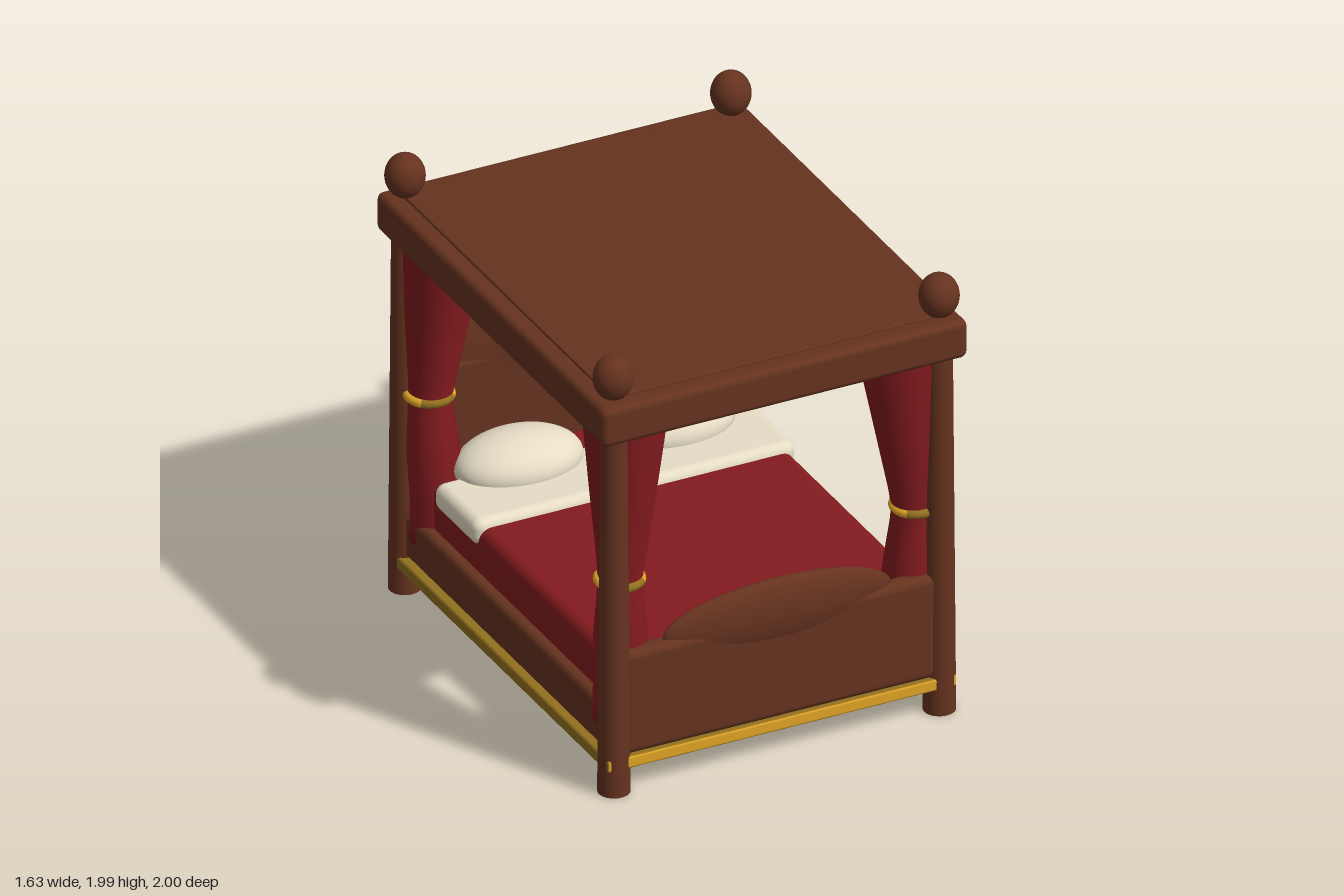
import * as THREE from 'three';
import { RoundedBoxGeometry } from 'three/addons/geometries/RoundedBoxGeometry.js';

const mat = (name, color, side = THREE.FrontSide) => {
  const m = new THREE.MeshStandardMaterial({ color, side });
  m.name = name;
  return m;
};

// Curtain rings from hem to canopy: height, radius, centre x, centre z
const curtainRings = [
  [0.27, 0, 0.637, 0.8], [0.27, 0.12, 0.637, 0.8], [0.34, 0.116, 0.635, 0.8],
  [0.45, 0.113, 0.635, 0.804], [0.66, 0.109, 0.648, 0.82], [0.84, 0.094, 0.655, 0.83],
  [0.91, 0.09, 0.656, 0.832], [1.0, 0.098, 0.65, 0.828], [1.3, 0.135, 0.632, 0.81],
  [1.64, 0.174, 0.61, 0.785],
];

// Lathed cloth whose rings are shifted so that it leans towards its post
function curtainGeometry(sx, sz) {
  const geo = new THREE.LatheGeometry(curtainRings.map(([y, r]) => new THREE.Vector2(r, y)), 32);
  const pos = geo.attributes.position;
  for (let i = 0; i < pos.count; i++) {
    const [, , cx, cz] = curtainRings[i % curtainRings.length];
    pos.setX(i, pos.getX(i) + sx * cx);
    pos.setZ(i, pos.getZ(i) + sz * cz);
  }
  return geo;
}

export function createModel() {
  const wood = mat('dark wood', 0x66331f);
  const red = mat('red cloth', 0x841b1f, THREE.DoubleSide);
  const gold = mat('bright gold', 0xdfa426);
  const oldGold = mat('dark gold', 0x92701e);
  const cream = mat('cream linen', 0xe6ddc5);

  const bed = new THREE.Group();
  bed.name = 'canopyBed';

  const add = (parent, name, geometry, material, x, y, z) => {
    const mesh = new THREE.Mesh(geometry, material);
    mesh.name = name;
    mesh.position.set(x, y, z);
    parent.add(mesh);
    return mesh;
  };
  // Rounded box given by its size and the heights of its bottom and top
  const slab = (name, material, w, y0, y1, d, r, z = 0) =>
    add(bed, name, new RoundedBoxGeometry(w, y1 - y0, d, 4, r), material, 0, (y0 + y1) / 2, z);
  const ball = (parent, name, material, x, y, z, rx, ry, rz) =>
    add(parent, name, new THREE.SphereGeometry(1, 40, 24), material, x, y, z).scale.set(rx, ry, rz);

  // Base with bright front and back edges, and canopy
  slab('goldBase', [oldGold, oldGold, oldGold, oldGold, gold, gold], 1.56, 0.113, 0.17, 1.94, 0.012);
  slab('bedFrame', wood, 1.5, 0.165, 0.365, 1.84, 0.03);
  slab('canopy', wood, 1.634, 1.622, 1.795, 2, 0.03);
  slab('canopyTopPanel', wood, 1.48, 1.74, 1.806, 1.84, 0.008);

  // Footboard and headboard: panels crowned by flattened domes
  slab('footboardPanel', wood, 1.4, 0.165, 0.635, 0.088, 0.035, 0.917);
  ball(bed, 'footboardArch', wood, 0, 0.635, 0.917, 0.51, 0.15, 0.058);
  slab('headboardPanel', wood, 1.4, 0.165, 1.0, 0.09, 0.035, -0.917);
  ball(bed, 'headboardArch', wood, 0, 1.0, -0.917, 0.65, 0.25, 0.054);

  // Bedding
  slab('mattress', red, 1.4, 0.25, 0.56, 1.76, 0.05);
  slab('foldedSheet', cream, 1.44, 0.475, 0.595, 0.38, 0.045, -0.5);

  // Posts, finials, curtains and ties at the four corners
  const postGeo = new THREE.CylinderGeometry(0.054, 0.067, 1.68, 28);
  const tieGeo = new THREE.TorusGeometry(0.087, 0.02, 12, 10, Math.PI / 2)
    .rotateZ(-Math.PI / 4).rotateX(Math.PI / 2);

  for (const sx of [-1, 1]) {
    ball(bed, 'pillow', cream, sx * 0.34, 0.603, -0.68, 0.275, 0.128, 0.19);
    for (const sz of [-1, 1]) {
      const corner = new THREE.Group();
      corner.name = (sz > 0 ? 'front' : 'back') + (sx > 0 ? 'Left' : 'Right') + 'Corner';
      bed.add(corner);
      add(corner, 'post', postGeo, wood, sx * 0.727, 0.84, sz * 0.917);
      ball(corner, 'finial', wood, sx * 0.728, 1.89, sz * 0.912, 0.083, 0.096, 0.083);
      add(corner, 'curtain', curtainGeometry(sx, sz), red, 0, 0, 0);
      // Tie in four arcs: bright towards the sides, dark towards front and back
      for (let k = 0; k < 4; k++) {
        add(corner, 'curtainTie', tieGeo, k % 2 ? oldGold : gold, sx * 0.66, 0.913, sz * 0.834)
          .rotation.y = k * Math.PI / 2;
      }
    }
  }
  return bed;
}
